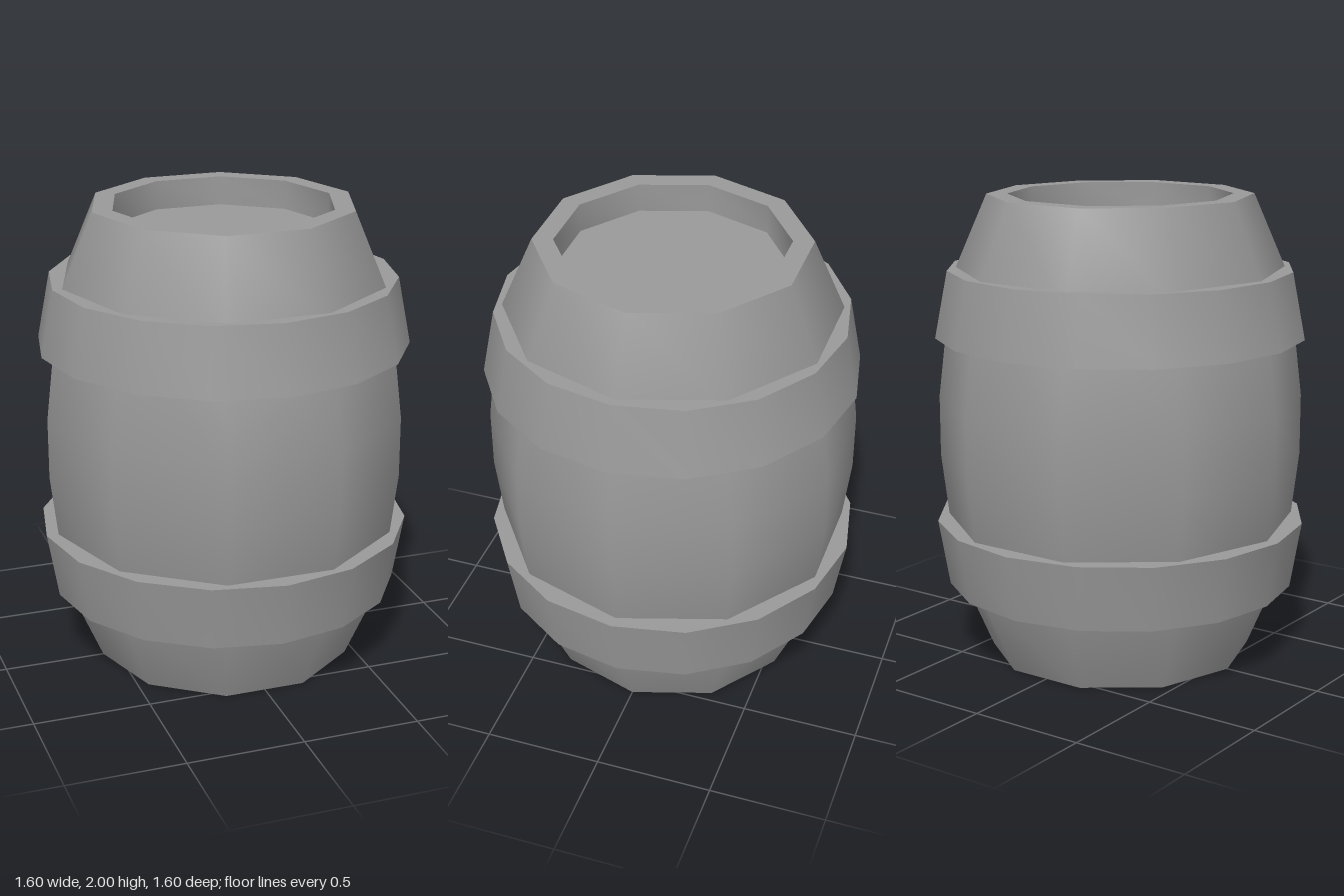
import * as THREE from 'three';
import { toCreasedNormals } from 'three/addons/utils/BufferGeometryUtils.js';

const material = new THREE.MeshStandardMaterial({ color: 0x999999 });

// Turns a profile of [radius, height] pairs, smooth around and sharp at the rims
function turned(name, profile, sides) {
  const points = profile.map(([r, y]) => new THREE.Vector2(r, y));
  const lathe = new THREE.LatheGeometry(points, sides, Math.PI / 2);
  const mesh = new THREE.Mesh(toCreasedNormals(lathe, 0.72), material);
  mesh.name = name;
  return mesh;
}

export function createModel() {
  const barrel = new THREE.Group();
  barrel.name = 'barrel';

  // Bulging staves with a recessed head at each end; the upper half mirrors the lower
  const lower = [
    [0, 0.125], [0.475, 0.125], [0.475, 0], [0.562, 0], [0.717, 0.36], [0.777, 0.87],
  ];
  const upper = lower.map(([r, y]) => [r, 2 - y]).reverse();
  const body = turned('barrelBody', [...lower, ...upper], 10);
  body.scale.z = 1.012; // the staves are very slightly oval
  barrel.add(body);

  // Hoops: tapered bands, each with a flat upper and lower edge
  const hoops = [
    ['lowerHoop', 0.32, 0.75, 0.605, 0.798],
    ['upperHoop', 1.405, 0.792, 1.69, 0.737],
  ];
  for (const [name, y0, r0, y1, r1] of hoops) {
    barrel.add(turned(name, [[0.62, y0], [r0, y0], [r1, y1], [0.62, y1]], 16));
  }

  return barrel;
}
